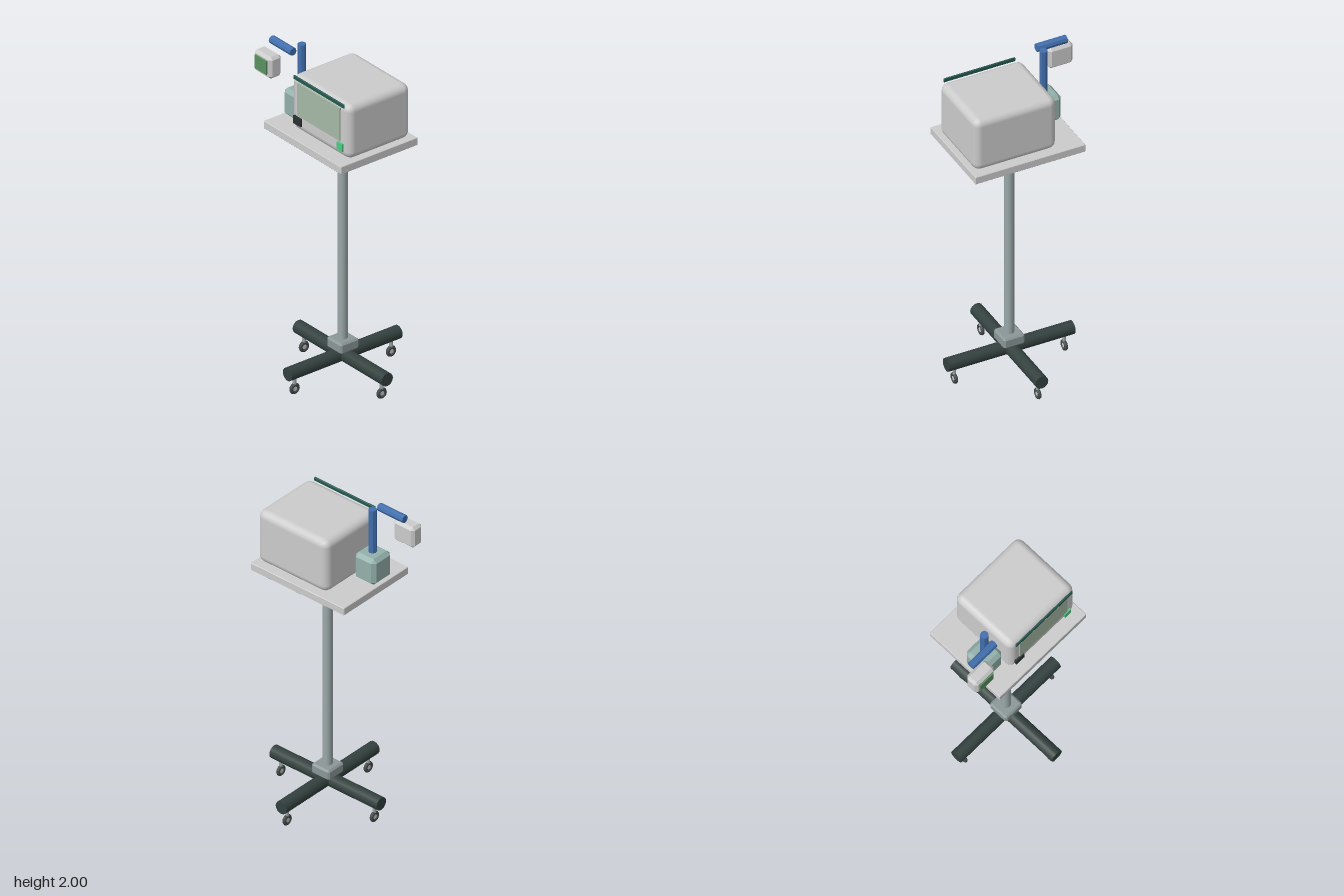
import * as THREE from 'three';
import { RoundedBoxGeometry } from 'three/addons/geometries/RoundedBoxGeometry.js';
import { ConvexGeometry } from 'three/addons/geometries/ConvexGeometry.js';

const mat = (color, flatShading = false) => new THREE.MeshStandardMaterial({ color, flatShading });
const grey = mat(0xcccccc), steel = mat(0x9ba8a8), collarGrey = mat(0x8b9797), dark = mat(0x33413e);
const teal = mat(0x93b0aa), blue = mat(0x426fae, true), rubber = mat(0x454b4b);
const display = mat(0xa6b9a6), trim = mat(0x24574e), black = mat(0x2a3030);
const green = mat(0x4fc884), smallDisplay = mat(0x5a9162);

// Box with every edge and corner cut flat by c
function chamferBox(w, h, d, c) {
  const points = [];
  for (const x of [-1, 1]) for (const y of [-1, 1]) for (const z of [-1, 1]) {
    const [X, Y, Z] = [x * w / 2, y * h / 2, z * d / 2];
    points.push(
      new THREE.Vector3(X, Y - y * c, Z - z * c),
      new THREE.Vector3(X - x * c, Y, Z - z * c),
      new THREE.Vector3(X - x * c, Y - y * c, Z));
  }
  return new ConvexGeometry(points);
}

export function createModel() {
  const model = new THREE.Group();
  model.name = 'monitorStand';

  const add = (name, geometry, material, x, y, z, parent = model) => {
    const mesh = new THREE.Mesh(geometry, material);
    mesh.name = name;
    mesh.position.set(x, y, z);
    parent.add(mesh);
    return mesh;
  };
  // Box given by its limits on each axis; c is the chamfer
  const block = (name, material, [x0, x1], [y0, y1], [z0, z1], c = 0) => {
    const size = [x1 - x0, y1 - y0, z1 - z0];
    const geometry = c ? chamferBox(...size, c) : new THREE.BoxGeometry(...size);
    return add(name, geometry, material, (x0 + x1) / 2, (y0 + y1) / 2, (z0 + z1) / 2);
  };

  const cx = 0.045; // stand axis

  // Crossed base legs
  const leg = new THREE.CylinderGeometry(0.04, 0.04, 0.78, 16);
  add('sideLegs', leg, dark, cx, 0.14, 0).rotation.z = Math.PI / 2;
  add('frontBackLegs', leg, dark, cx, 0.14, 0).rotation.x = Math.PI / 2;

  // Casters near the leg ends, all rolling along z
  const tyre = new THREE.TorusGeometry(0.023, 0.011, 8, 20).rotateY(Math.PI / 2);
  const hub = new THREE.CylinderGeometry(0.014, 0.014, 0.012, 12).rotateZ(Math.PI / 2);
  const stem = new THREE.CylinderGeometry(0.01, 0.01, 0.06, 10);
  for (const [dx, dz] of [[0.34, 0], [-0.34, 0], [0, 0.34], [0, -0.34]]) {
    const caster = new THREE.Group();
    caster.name = 'caster';
    caster.position.set(cx + dx, 0, dz);
    add('tyre', tyre, rubber, 0, 0.036, 0, caster);
    add('hub', hub, grey, 0, 0.036, 0, caster);
    add('stem', stem, steel, 0, 0.085, 0, caster);
    model.add(caster);
  }

  // Column with its two collars
  block('baseCollar', collarGrey, [cx - 0.065, cx + 0.065], [0.175, 0.24], [-0.065, 0.065], 0.01);
  add('column', new THREE.CylinderGeometry(0.028, 0.028, 1.25, 20), steel, cx, 0.835, 0);
  block('topCollar', collarGrey, [cx - 0.082, cx + 0.082], [1.435, 1.502], [-0.082, 0.082], 0.01);

  // Tray
  block('tray', grey, [-0.295, 0.385], [1.502, 1.55], [-0.255, 0.285], 0.003);

  // Main unit with screen, top trim and buttons
  add('mainHousing', new RoundedBoxGeometry(0.51, 0.34, 0.44, 2, 0.045), grey, 0.115, 1.722, -0.003);
  block('mainScreen', display, [-0.075, 0.297], [1.655, 1.86], [0.21, 0.225]);
  block('topTrim', trim, [-0.107, 0.335], [1.874, 1.898], [0.218, 0.229], 0.003);
  block('blackSocket', black, [-0.107, -0.042], [1.597, 1.645], [0.21, 0.229]);
  block('greenButton', green, [0.275, 0.322], [1.597, 1.645], [0.21, 0.229]);

  // Side unit with its post and arm
  block('sideUnit', teal, [-0.287, -0.135], [1.55, 1.72], [0.005, 0.16], 0.022);
  add('post', new THREE.CylinderGeometry(0.024, 0.024, 0.31, 8), blue, -0.21, 1.845, 0.083);
  add('arm', new THREE.CylinderGeometry(0.024, 0.024, 0.185, 8), blue, -0.293, 1.976, 0.152)
    .rotation.z = Math.PI / 2;

  // Small display
  block('smallHousing', grey, [-0.437, -0.287], [1.79, 1.925], [0.16, 0.244], 0.016);
  block('smallScreen', smallDisplay, [-0.413, -0.311], [1.818, 1.902], [0.238, 0.253]);

  return model;
}
